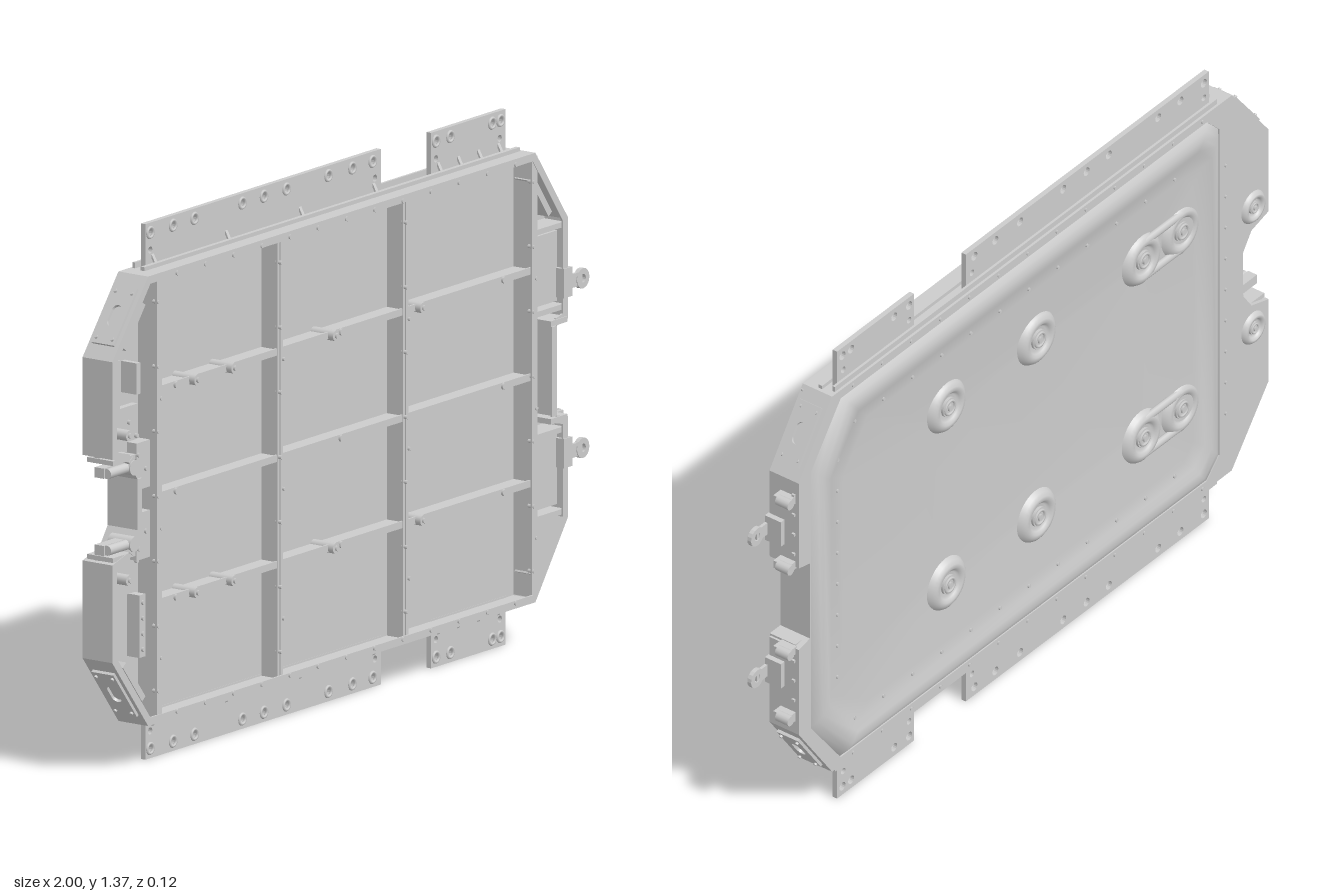
import * as THREE from 'three';
import { toCreasedNormals } from 'three/addons/utils/BufferGeometryUtils.js';

const H = 1.37, MID = H / 2;
const grey = new THREE.MeshStandardMaterial({ color: 0xcccccc, side: THREE.DoubleSide });

export function createModel() {
  const root = new THREE.Group();
  const add = (name, geo, x = 0, y = 0, z = 0, rz = 0) => {
    const m = new THREE.Mesh(geo, grey);
    m.name = name;
    m.position.set(x, y, z);
    m.rotation.z = rz;
    root.add(m);
    return m;
  };
  // Box from its limits
  const box = (name, x0, x1, y0, y1, z0, z1) =>
    add(name, new THREE.BoxGeometry(x1 - x0, y1 - y0, z1 - z0), (x0 + x1) / 2, (y0 + y1) / 2, (z0 + z1) / 2);
  // Cylinder along z from z0 to z1
  const rod = (name, x, y, r, z0, z1, sides = 14) =>
    add(name, new THREE.CylinderGeometry(r, r, z1 - z0, sides).rotateX(Math.PI / 2), x, y, (z0 + z1) / 2);
  const poly = pts => new THREE.Shape(pts.map(p => new THREE.Vector2(...p)));
  const hole = (shape, x, y, r) => shape.holes.push(new THREE.Path().absarc(x, y, r, 0, Math.PI * 2, true));
  const plate = (name, shape, z0, z1) =>
    add(name, new THREE.ExtrudeGeometry(shape, { depth: z1 - z0, bevelEnabled: false, curveSegments: 8 }), 0, 0, z0);
  const bothEnds = f => [1, -1].forEach(s => f(y => MID + s * y, s)); // mirror about mid height
  const span = (name, x0, x1, ya, yb, z0, z1) => box(name, x0, x1, Math.min(ya, yb), Math.max(ya, yb), z0, z1);

  // Outline with the latch notch on one end and the shallow recess on the other
  const outline = [[-0.84, 0.11], [0.78, 0.11], [0.915, 0.3], [0.915, 0.56], [0.87, 0.57], [0.87, 0.8], [0.915, 0.81],
    [0.915, 1.07], [0.78, 1.26], [-0.84, 1.26], [-0.99, 1.07], [-0.99, 0.82], [-0.92, 0.8], [-0.885, 0.75],
    [-0.885, 0.62], [-0.92, 0.57], [-0.99, 0.55], [-0.99, 0.3]];

  // Outer walls, one box per outline edge, with front lips
  outline.forEach((a, i) => {
    const b = outline[(i + 1) % outline.length];
    const dx = b[0] - a[0], dy = b[1] - a[1], len = Math.hypot(dx, dy), ang = Math.atan2(dy, dx);
    const wall = (name, off, t, z0, z1) => add(name, new THREE.BoxGeometry(len, t, z1 - z0),
      (a[0] + b[0]) / 2 - dy / len * off, (a[1] + b[1]) / 2 + dx / len * off, (z0 + z1) / 2, ang);
    wall('outerWall', 0.005, 0.01, -0.04, 0.045);
    wall('frontLip', 0.01, 0.02, 0.042, 0.047);
  });

  // Front floor of the bays
  plate('frontFloor', poly(outline), -0.022, -0.018);

  // Back skin: flat border, raised ridge and shallow dish
  const octagon = ([x0, x1, y, cl, cr]) => [[x0 + cl, MID - y], [x1 - cr, MID - y], [x1, MID - y + cr * 1.3],
    [x1, MID + y - cr * 1.3], [x1 - cr, MID + y], [x0 + cl, MID + y], [x0, MID + y - cl], [x0, MID - y + cl]];
  const rings = [ // x min, x max, half height, chamfers, z
    [-0.79, 0.865, 0.55, 0.05, 0.12, -0.04], [-0.775, 0.85, 0.535, 0.05, 0.12, -0.054],
    [-0.76, 0.835, 0.52, 0.05, 0.12, -0.06], [-0.74, 0.81, 0.495, 0.05, 0.115, -0.06],
    [-0.725, 0.79, 0.475, 0.045, 0.11, -0.05], [-0.68, 0.74, 0.435, 0.04, 0.1, -0.047],
    [-0.52, 0.38, 0.27, 0.02, 0.03, -0.031], [-0.48, 0.34, 0.25, 0.02, 0.03, -0.03]];
  const border = poly(outline);
  border.holes.push(new THREE.Path(octagon(rings[0]).map(p => new THREE.Vector2(...p))));
  plate('backBorder', border, -0.045, -0.039);
  const pos = [], idx = [];
  rings.forEach(r => octagon(r).forEach(p => pos.push(p[0], p[1], r[5])));
  pos.push(-0.07, MID, -0.03);
  const last = (rings.length - 1) * 8;
  for (let k = 0; k < 8; k++) {
    const n = (k + 1) % 8;
    for (let j = 0; j < last; j += 8) idx.push(j + k, j + 8 + k, j + n, j + n, j + 8 + k, j + 8 + n);
    idx.push(last + k, last + 8, last + n);
  }
  const skin = new THREE.BufferGeometry();
  skin.setAttribute('position', new THREE.Float32BufferAttribute(pos, 3));
  skin.setIndex(idx);
  add('backSkin', toCreasedNormals(skin, 0.75));

  // Fixing points: cupped pad at the back, rod at the front
  const fixing = (x, y, s, base) => {
    const profile = [[0.075, 0.005], [0.068, -0.006], [0.058, -0.013], [0.048, -0.014], [0.04, -0.008], [0.034, -0.002], [0, -0.002]]
      .map(p => new THREE.Vector2(p[0] * s, p[1]));
    add('fixingPad', new THREE.LatheGeometry(profile, 32).rotateX(Math.PI / 2), x, y, base);
    rod('fixingDisc', x, y, 0.027 * s, base - 0.009, base, 20);
    add('fixingRing', new THREE.TorusGeometry(0.019 * s, 0.004 * s, 6, 20), x, y, base - 0.009);
    rod('fixingNut', x, y, 0.01 * s, base - 0.014, base, 6);
    rod('fixingRod', x, y, 0.014, -0.02, 0.052);
    rod('fixingTip', x, y, 0.007, 0.05, 0.057, 6);
  };
  bothEnds(at => {
    [-0.64, -0.485, -0.06, 0.305].forEach(x => fixing(x, at(0.272), 1, -0.038));
    fixing(-0.925, at(0.185), 0.65, -0.043);
  });
  // Bridge that joins the two close pads
  bothEnds(at => [0.053, -0.053].forEach(d =>
    add('padBridge', new THREE.CylinderGeometry(0.012, 0.012, 0.155, 12).rotateZ(Math.PI / 2).scale(1, 1, 0.8), -0.562, at(0.272) + d, -0.042)));

  // Front ribs with flanges
  const ribX = [-0.79, -0.275, 0.25, 0.78];
  ribX.forEach((x, i) => {
    const end = i % 3 === 0;
    box('verticalRib', x - 0.004, x + 0.004, 0.12, 1.25, -0.02, 0.042);
    box('verticalRibFlange', x - 0.011, x + 0.011, 0.12, 1.25, end ? 0.039 : 0.033, end ? 0.045 : 0.038);
    for (let k = 0; k < 13; k++) if (k % 4 !== 3) rod('ribBolt', x + (k % 2 ? 0.006 : -0.006), 0.19 + k * 0.083, 0.005, 0.03, 0.048, 6);
  });
  [0.413, MID, 0.957].forEach(y => {
    box('horizontalRib', -0.79, 0.78, y - 0.004, y + 0.004, -0.02, 0.035);
    box('horizontalRibFlange', -0.79, 0.78, y - 0.009, y + 0.009, 0.031, 0.036);
    [-0.71, -0.02, 0.66].forEach(x => rod('ribPin', x, y, 0.009, 0.03, 0.042, 10));
  });

  // Top and bottom mounting plates with holes, brackets and edge bolts
  const mounts = [[-0.765, 0.22, [-0.745, -0.65, -0.56, -0.36, -0.27, -0.175, 0, 0.1, 0.185]], [0.43, 0.742, [0.45, 0.51, 0.685, 0.72]]];
  bothEnds((at, s) => {
    mounts.forEach(([x0, x1, holes]) => {
      const shape = poly([[x0, at(0.56)], [x1, at(0.56)], [x1, at(MID)], [x0, at(MID)]]);
      holes.forEach(x => hole(shape, x, at(0.66), 0.012));
      [x0 + 0.02, x1 - 0.025].forEach(x => hole(shape, x, at(0.615), 0.009));
      plate('mountPlate', shape, -0.031, -0.017);
      holes.forEach(x => add('mountBush', new THREE.TorusGeometry(0.013, 0.004, 6, 16), x, at(0.66), -0.017));
      // Angled gussets behind each plate
      for (let k = 0; k < 4; k++) {
        const x = x0 + 0.03 + k * (x1 - x0 - 0.06) / 3;
        const g = box('mountGusset', x - 0.005, x + 0.005, at(0.585) - 0.02, at(0.585) + 0.02, -0.012, -0.007);
        g.rotation.x = -s * 0.5;
      }
    });
    span('edgeRail', -0.79, 0.76, at(0.57), at(0.59), -0.038, -0.031);
    span('edgeStep', -0.8, 0.77, at(0.57), at(0.585), -0.006, 0.006);
    for (let x = -0.72; x < 0.76; x += 0.118) {
      rod('rimBolt', x, at(0.561), 0.006, 0.045, 0.051, 6);
      rod('backBolt', x, at(0.455), 0.005, -0.053, -0.045, 6);
      rod('backEdgeBolt', x, at(0.563), 0.005, -0.049, -0.043, 6);
    }
  });
  for (let y = 0.3; y < 1.1; y += 0.095) {
    rod('endBolt', 0.765, y, 0.005, -0.054, -0.046, 6);
    rod('endBolt', -0.815, y, 0.005, -0.049, -0.043, 6);
  }

  // Slotted access plates on the four chamfers
  const slotted = poly([[-0.08, -0.034], [0.08, -0.034], [0.08, 0.034], [-0.08, 0.034]]);
  const slot = new THREE.Path();
  slot.absarc(0.015, 0, 0.014, -Math.PI / 2, Math.PI / 2);
  slot.absarc(-0.015, 0, 0.014, Math.PI / 2, Math.PI * 1.5);
  slotted.holes.push(slot);
  const slotGeo = new THREE.ExtrudeGeometry(slotted, { depth: 0.008, bevelEnabled: false }).rotateX(-Math.PI / 2);
  [[0.848, -0.954], [-0.915, 0.903]].forEach(([x, ang]) => bothEnds((at, s) => {
    const m = add('accessPlate', slotGeo, x, at(0.48), 0.002, s * ang);
    if (s < 0) m.rotation.z += Math.PI;
    for (const u of [-0.065, 0.065]) for (const v of [-0.025, 0.025]) {
      const b = new THREE.Mesh(new THREE.CylinderGeometry(0.005, 0.005, 0.007, 6), grey);
      b.name = 'accessBolt';
      b.position.set(u, 0.01, v);
      m.add(b);
    }
    add('chamferRail', new THREE.BoxGeometry(0.13, 0.018, 0.05), x - Math.sign(x) * 0.03, at(0.455), 0.012, s * ang);
  }));

  bothEnds((at, s) => {
    // Hinge end: inner boxes, tabs and lugs
    span('hingeBox', 0.8, 0.9, at(0.17), at(0.35), -0.02, 0.025);
    [0.15, 0.36].forEach(y => span('hingeBayRib', 0.78, 0.91, at(y), at(y + 0.014), -0.02, 0.042));
    span('hingeBlock', 0.895, 0.93, at(0.18), at(0.255), 0.0, 0.05);
    span('hingeArm', 0.9, 0.972, at(0.2), at(0.235), 0.042, 0.05);
    const lug = new THREE.Shape().absarc(0.973, at(0.217), 0.026, 0, Math.PI * 2);
    hole(lug, 0.973, at(0.217), 0.011);
    plate('hingeLug', lug, 0.04, 0.052);
    [0.12, 0.32].forEach(y => {
      span('sideTab', 0.91, 0.945, at(y), at(y + 0.022), -0.035, 0.012);
      rod('sideTabPin', 0.94, at(y + 0.011), 0.014, -0.04, 0.0);
    });
    span('recessBlock', 0.84, 0.91, at(0.118), at(0.132), -0.03, 0.05);
    for (let k = 0; k < 4; k++) span('sideBolt', 0.914, 0.921, at(0.16 + k * 0.06), at(0.168 + k * 0.06), -0.034, -0.026);

    // Latch end: pocket plates, strips and latch bars
    span('latchPlate', -0.98, -0.82, at(0.125), at(0.24), -0.018, 0.0);
    span('latchStrap', -0.865, -0.81, at(0.03), at(0.15), -0.018, 0.03);
    for (let k = 0; k < 5; k++) rod('latchBolt', -0.86 + (k % 2) * 0.03, at(0.04 + k * 0.04), 0.006, 0, k < 3 ? 0.036 : 0.008, 6);
    span('latchBar', -1, -0.9, at(0.086), at(0.112), 0.0, 0.028);
    add('latchPin', new THREE.CylinderGeometry(0.013, 0.013, 0.1, 14).rotateZ(Math.PI / 2), -0.945, at(0.098), 0.034);
    rod('latchPivot', -0.9, at(0.098), 0.02, -0.02, 0.05);
    span('latchCheek', -0.985, -0.89, at(0.118), at(0.13), -0.035, 0.045);
    if (s > 0) {
      box('handleBar', -0.94, -0.928, 0.93, 1.06, 0.005, 0.025);
      box('handleBar', -0.865, -0.85, 0.96, 1.04, -0.018, 0.03);
    } else {
      box('pocketPlate', -0.965, -0.94, 0.32, 0.43, -0.018, 0.02);
      box('pocketPlate', -0.84, -0.815, 0.28, 0.44, -0.018, 0.02);
      for (let k = 0; k < 4; k++) rod('pocketBolt', -0.828, 0.3 + k * 0.04, 0.006, 0.018, 0.026, 6);
    }
  });
  return root;
}
